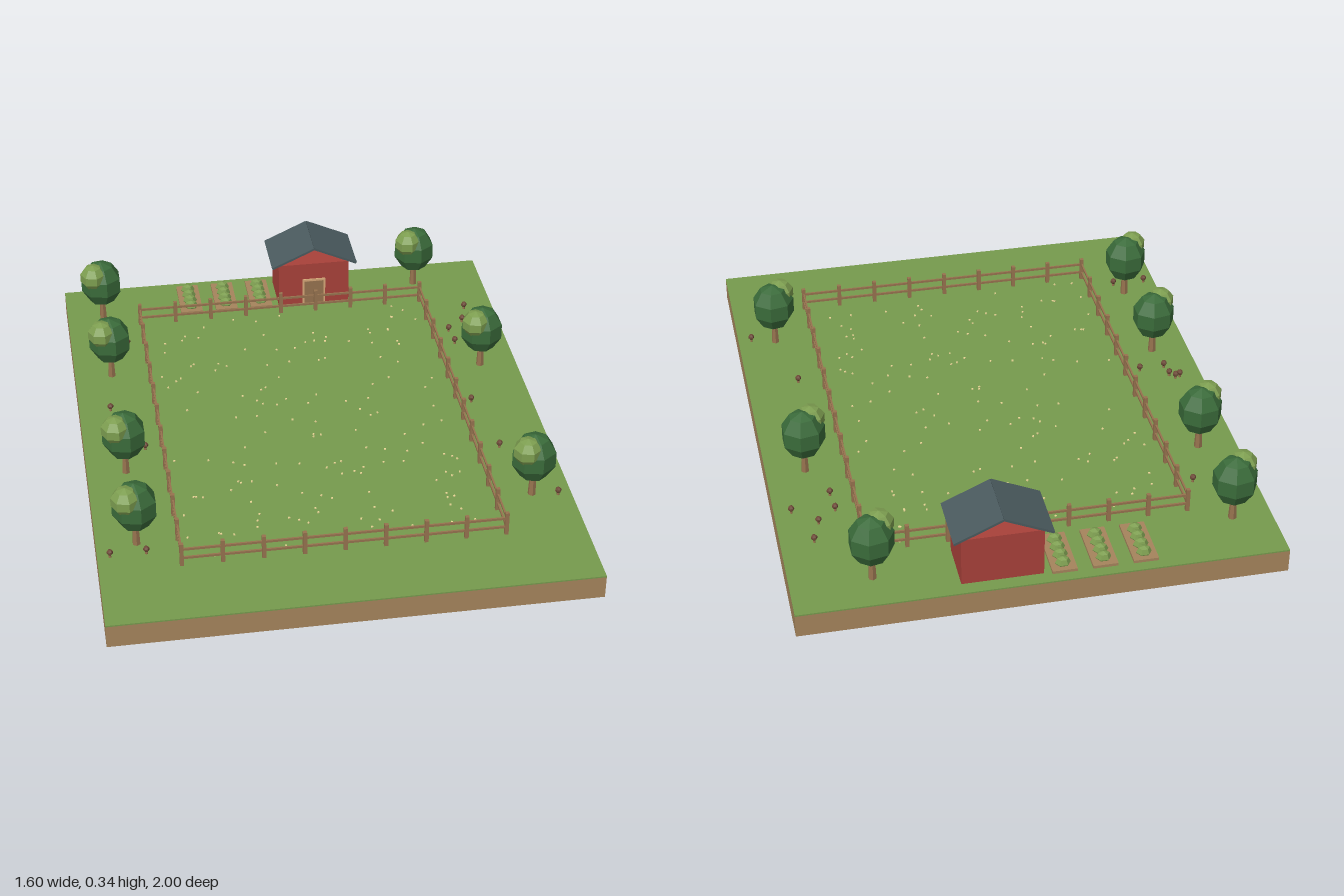
import * as THREE from 'three';

const mat = (name, color) => Object.assign(new THREE.MeshStandardMaterial({ color }), { name });
const soil = mat('soil', 0xa5845c);
const grass = mat('grass', 0x769a4d);
const wood = mat('fence wood', 0x96724e);
const barnRed = mat('barn red', 0xa8413a);
const slate = mat('roof slate', 0x4a5a5e);
const trim = mat('door trim', 0xd6a878);
const leafDark = mat('dark leaves', 0x3a6b3a);
const leafLight = mat('light leaves', 0x7d9e50);
const capBrown = mat('mushroom brown', 0x6e4a38);
const petal = mat('petal cream', 0xe6d794);

const GROUND = 0.085;

// Faceted copy of a geometry
const facet = (geo) => {
  const g = geo.index ? geo.toNonIndexed() : geo;
  g.computeVertexNormals();
  return g;
};

function add(parent, name, geo, material, x = 0, y = 0, z = 0) {
  const mesh = new THREE.Mesh(geo, material);
  mesh.name = name;
  mesh.position.set(x, y, z);
  parent.add(mesh);
  return mesh;
}
function group(parent, name, x = 0, y = 0, z = 0) {
  const g = new THREE.Group();
  g.name = name;
  g.position.set(x, y, z);
  parent.add(g);
  return g;
}
const box = (w, h, d) => new THREE.BoxGeometry(w, h, d);

function buildFence(root) {
  const fence = group(root, 'fence', 0, GROUND, 0);
  const X = 0.533, Z = 0.733, nx = 8, nz = 11;
  const post = box(0.013, 0.085, 0.013);
  const addPost = (x, z) => add(fence, 'fencePost', post, wood, x, 0.0425, z);
  for (const s of [-1, 1]) {
    for (let i = 0; i <= nx; i++) addPost(-X + (2 * X * i) / nx, s * Z);
    for (let i = 1; i < nz; i++) addPost(s * X, -Z + (2 * Z * i) / nz);
    for (const y of [0.028, 0.062]) {
      add(fence, 'fenceRail', box(2 * X, 0.008, 0.006), wood, 0, y, s * Z);
      add(fence, 'fenceRail', box(0.006, 0.008, 2 * Z), wood, s * X, y, 0);
    }
  }
}

function buildBarn(root) {
  const barn = group(root, 'barn', 0.133, GROUND, -0.867);
  add(barn, 'barnWalls', box(0.267, 0.175, 0.176), barnRed, 0, 0.0875, 0);
  // Two sloping slabs meeting at the ridge, gables left open
  const rise = 0.073, run = 0.16;
  for (const s of [-1, 1]) {
    const slab = add(barn, 'roofSlab', box(Math.hypot(rise, run), 0.008, 0.212), slate, (s * run) / 2, 0.211, 0);
    slab.rotation.z = -s * Math.atan2(rise, run);
  }
  add(barn, 'doorFrame', box(0.087, 0.11, 0.006), trim, 0, 0.055, 0.09);
  add(barn, 'door', box(0.073, 0.102, 0.005), wood, 0, 0.051, 0.0925);
}

function buildTrees(root) {
  const trunk = facet(new THREE.CylinderGeometry(0.01, 0.014, 0.09, 6));
  const crown = facet(new THREE.SphereGeometry(0.078, 7, 5).scale(1, 1.15, 0.92));
  const tuft = facet(new THREE.SphereGeometry(0.05, 7, 5));
  const spots = [[-0.667, -0.8], [-0.667, -0.4], [-0.667, 0.2], [-0.667, 0.6],
    [0.535, -0.867], [0.667, -0.267], [0.667, 0.533]];
  for (const [x, z] of spots) {
    const tree = group(root, 'tree', x, GROUND, z);
    add(tree, 'trunk', trunk, wood, 0, 0.045, 0);
    add(tree, 'crown', crown, leafDark, 0, 0.153, 0);
    add(tree, 'sunlitTuft', tuft, leafLight, -0.03, 0.195, 0.024);
  }
}

function buildGarden(root) {
  const plant = facet(new THREE.SphereGeometry(0.026, 6, 4).scale(1, 0.9, 0.85));
  for (const x of [-0.333, -0.2, -0.067]) {
    const bed = group(root, 'gardenBed', x, GROUND, -0.87);
    add(bed, 'bedSoil', box(0.082, 0.01, 0.19), soil, 0, 0.005, 0);
    for (let i = 0; i < 4; i++) add(bed, 'plant', plant, leafLight, 0, 0.014, -0.059 + i * 0.0393);
  }
}

function buildMushrooms(root) {
  const stem = new THREE.CylinderGeometry(0.004, 0.005, 0.014, 6);
  const cap = facet(new THREE.SphereGeometry(0.011, 6, 5));
  const spots = [[-0.663, -0.674], [-0.594, -0.589], [-0.69, -0.175], [-0.72, 0.016], [-0.703, 0.01],
    [-0.685, 0.03], [-0.68, 0.085], [-0.59, 0.08], [-0.758, 0.658], [-0.64, 0.658],
    [0.69, -0.653], [0.663, -0.562], [0.6, -0.504], [0.743, -0.488], [0.605, -0.419],
    [0.583, -0.032], [0.62, 0.255], [0.753, 0.552]];
  for (const [x, z] of spots) {
    const m = group(root, 'mushroom', x, GROUND, z);
    add(m, 'stem', stem, wood, 0, 0.007, 0);
    add(m, 'cap', cap, capBrown, 0, 0.019, 0);
  }
}

function buildFlowers(root) {
  // Scattered specks across the paddock
  let seed = 7;
  const rand = () => (seed = (seed * 16807) % 2147483647) / 2147483647;
  const flowers = group(root, 'flowers', 0, GROUND, 0);
  const speck = box(0.006, 0.004, 0.006);
  for (let i = 0; i < 150; i++) {
    const f = add(flowers, 'flower', speck, petal, (rand() - 0.5) * 1.0, 0.002, (rand() - 0.5) * 1.42);
    f.rotation.y = rand() * Math.PI;
  }
}

export function createModel() {
  const root = new THREE.Group();
  root.name = 'farmPaddock';
  add(root, 'soilBase', box(1.6, 0.08, 2), soil, 0, 0.04, 0);
  add(root, 'grassTop', box(1.6, 0.005, 2), grass, 0, 0.0825, 0);
  buildFence(root);
  buildBarn(root);
  buildTrees(root);
  buildGarden(root);
  buildMushrooms(root);
  buildFlowers(root);
  return root;
}
